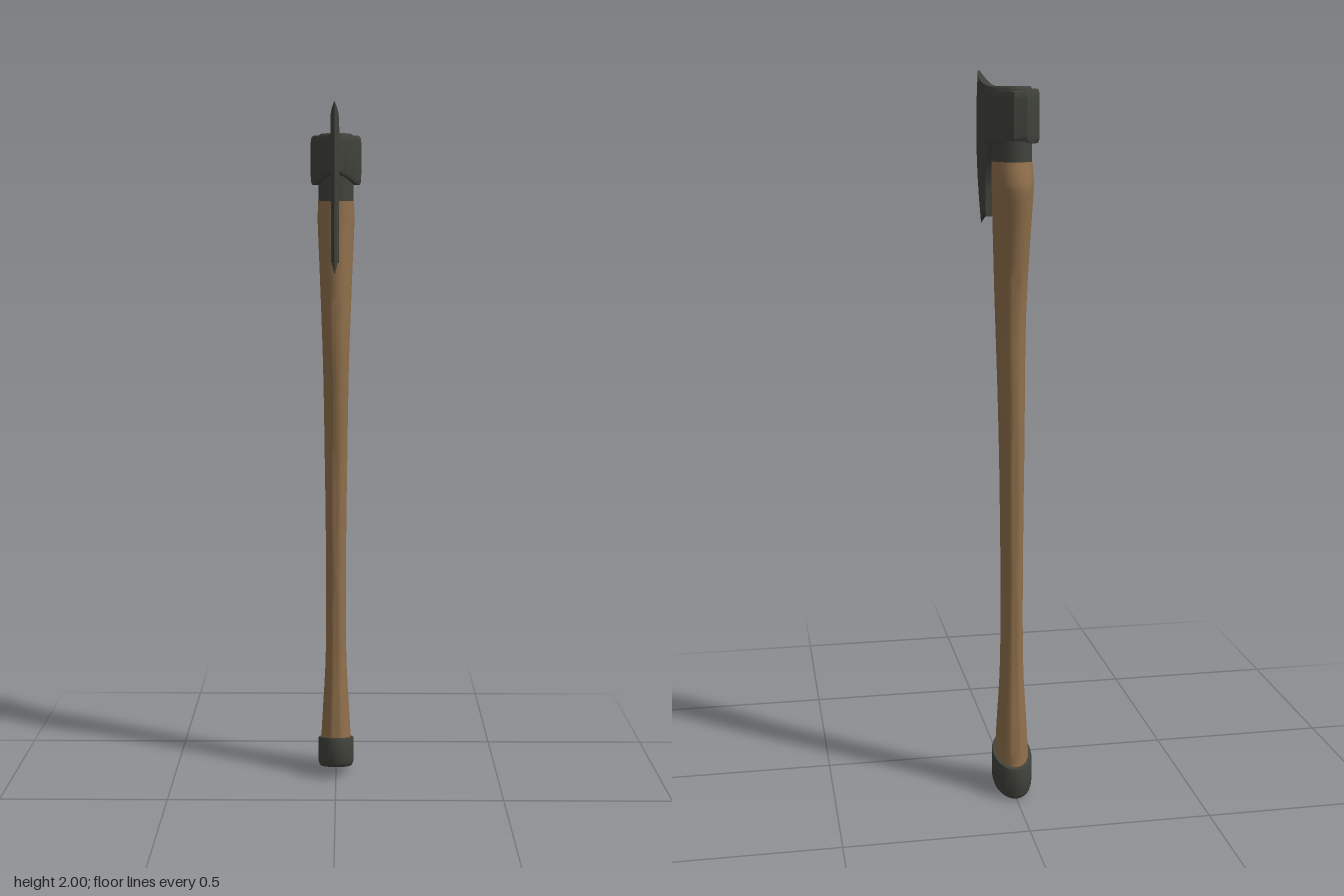
import * as THREE from 'three';
import { toCreasedNormals } from 'three/addons/utils/BufferGeometryUtils.js';

const V = (x, y, z) => new THREE.Vector3(x, y, z);

// Skin a list of closed rings with equal point counts, optionally capping the ends
function loft(rings, caps = true, crease = 0.7) {
  const n = rings[0].length, pos = [], idx = [];
  rings.forEach(r => r.forEach(p => pos.push(p.x, p.y, p.z)));
  for (let i = 0; i < rings.length - 1; i++) {
    for (let j = 0; j < n; j++) {
      const a = i * n + j, b = i * n + (j + 1) % n;
      idx.push(a, a + n, b, b, a + n, b + n);
    }
  }
  if (caps) {
    [0, rings.length - 1].forEach((i, end) => {
      const c = V(0, 0, 0);
      rings[i].forEach(p => c.addScaledVector(p, 1 / n));
      const k = pos.length / 3;
      pos.push(c.x, c.y, c.z);
      for (let j = 0; j < n; j++) {
        const a = i * n + j, b = i * n + (j + 1) % n;
        if (end) idx.push(k, b, a); else idx.push(k, a, b);
      }
    });
  }
  const g = new THREE.BufferGeometry();
  g.setAttribute('position', new THREE.Float32BufferAttribute(pos, 3));
  g.setIndex(idx);
  return toCreasedNormals(g, crease);
}

// Oval ring around the haft axis; slope tips it along z
function oval(y, front, back, rx, slope = 0, seg = 28) {
  const zc = (front + back) / 2, rz = (front - back) / 2;
  return Array.from({ length: seg }, (_, j) => {
    const t = j / seg * Math.PI * 2, z = zc + Math.sin(t) * rz;
    return V(Math.cos(t) * rx, y + (z - zc) * slope, z);
  });
}

// Uniform spline through points, sampled evenly
const spline = (pts, n) =>
  new THREE.CatmullRomCurve3(pts, false, 'catmullrom', 0.5).getPoints(n);

export function createModel() {
  const group = new THREE.Group();
  const wood = new THREE.MeshStandardMaterial({ color: 0x8f6f4b });
  wood.name = 'wood';
  const iron = new THREE.MeshStandardMaterial({ color: 0x40423b });
  iron.name = 'darkIron';
  const add = (name, geometry, material) => {
    const m = new THREE.Mesh(geometry, material);
    m.name = name;
    group.add(m);
  };

  // Haft: y, front z, back z, half width
  const haft = [
    [0.09, -0.160, -0.306, 0.047], [0.20, -0.168, -0.296, 0.041],
    [0.37, -0.182, -0.280, 0.032], [0.60, -0.181, -0.279, 0.030],
    [0.85, -0.176, -0.279, 0.032], [1.00, -0.170, -0.280, 0.034],
    [1.15, -0.153, -0.280, 0.036], [1.30, -0.138, -0.275, 0.039],
    [1.42, -0.137, -0.278, 0.043], [1.55, -0.140, -0.296, 0.048],
    [1.67, -0.145, -0.317, 0.053], [1.71, -0.146, -0.314, 0.054],
    [1.755, -0.147, -0.298, 0.052],
  ];
  const shape = spline(haft.map(h => V(h[0], h[1], h[2])), 48);
  const widths = spline(haft.map(h => V(h[3], 0, 0)), 48);
  add('haft', loft(shape.map((s, i) => oval(s.x, s.y, s.z, widths[i].x))), wood);

  // Slanted end cap
  add('endCap', loft([
    [0.021, 0.87], [0.026, 0.94], [0.038, 1], [0.108, 1], [0.114, 0.97],
  ].map(([y, s]) => oval(y, -0.235 + 0.083 * s, -0.235 - 0.083 * s, 0.055 * s, 0.28))), iron);

  // Neck sleeve passing through the eye, with a rounded top
  add('neckPlug', loft([
    [1.745, 1], [1.935, 1], [1.942, 0.97], [1.946, 0.9],
  ].map(([y, s]) => oval(y, -0.222 + 0.072 * s, -0.222 - 0.072 * s, 0.051 * s)), true, 1), iron);

  // Eye socket: half outline from front to back, mirrored
  const half = spline([
    [0.0105, -0.09], [0.012, -0.115], [0.020, -0.134], [0.040, -0.150], [0.060, -0.173],
    [0.072, -0.202], [0.072, -0.225], [0.060, -0.258], [0.044, -0.282], [0.029, -0.300],
    [0.021, -0.316], [0.021, -0.332], [0.017, -0.338],
  ].map(([x, z]) => V(x, 0, z)), 36);
  const outline = [
    ...half.slice().reverse(),
    ...half.map(p => V(-p.x, 0, p.z)),
  ];
  const underside = z => 1.802 + 0.036 * THREE.MathUtils.smoothstep(z, -0.19, -0.11)
    + 0.007 * THREE.MathUtils.smoothstep(-z, 0.285, 0.31);
  const topside = z => 1.940 - 0.010 * THREE.MathUtils.smoothstep(-z, 0.25, 0.335);
  const socketRing = (level, s) => outline.map(p => V(
    p.x * s,
    THREE.MathUtils.lerp(underside(p.z), topside(p.z), level),
    -0.22 + (p.z + 0.22) * (1 - (1 - s) * 0.4),
  ));
  add('eyeSocket', loft([
    [0, 0.94], [0.05, 0.99], [0.1, 1], [0.86, 1], [0.95, 0.98], [1, 0.92],
  ].map(([l, s]) => socketRing(l, s))), iron);

  // Blade: matching lower and upper edges (z, y), split at the beard corner
  const lowA = [[-0.15, 1.826], [-0.06, 1.842], [0.02, 1.831], [0.07, 1.797],
    [0.105, 1.745], [0.121, 1.69], [0.121, 1.64], [0.115, 1.588]];
  const topA = [[-0.15, 1.939], [-0.06, 1.943], [0.02, 1.947], [0.075, 1.950],
    [0.12, 1.954], [0.15, 1.957], [0.175, 1.961], [0.20, 1.966]];
  const lowB = [[0.115, 1.588], [0.15, 1.594], [0.185, 1.592], [0.222, 1.579], [0.26, 1.56]];
  const topB = [[0.20, 1.966], [0.225, 1.971], [0.255, 1.980], [0.282, 1.990], [0.31, 2.0]];
  const edge = (a, b) => [
    ...spline(a.map(([z, y]) => V(0, y, z)), 28),
    ...spline(b.map(([z, y]) => V(0, y, z)), 16).slice(1),
  ];
  const low = edge(lowA, lowB), top = edge(topA, topB), rows = 20;
  const blade = low.map((p, i) => {
    const w = Math.max(0, (i - 28) / 16);
    const thick = 0.011 * (1 - Math.pow(w, 2.2));
    const side = (sign, v) => {
      const q = p.clone().lerp(top[i], v);
      q.z += 0.053 * w * 4 * v * (1 - v);
      q.x = sign * thick;
      return q;
    };
    const ring = [];
    for (let r = rows; r >= 0; r--) ring.push(side(1, r / rows));
    for (let r = 0; r <= rows; r++) ring.push(side(-1, r / rows));
    return ring;
  });
  add('blade', loft(blade, false), iron);

  return group;
}
